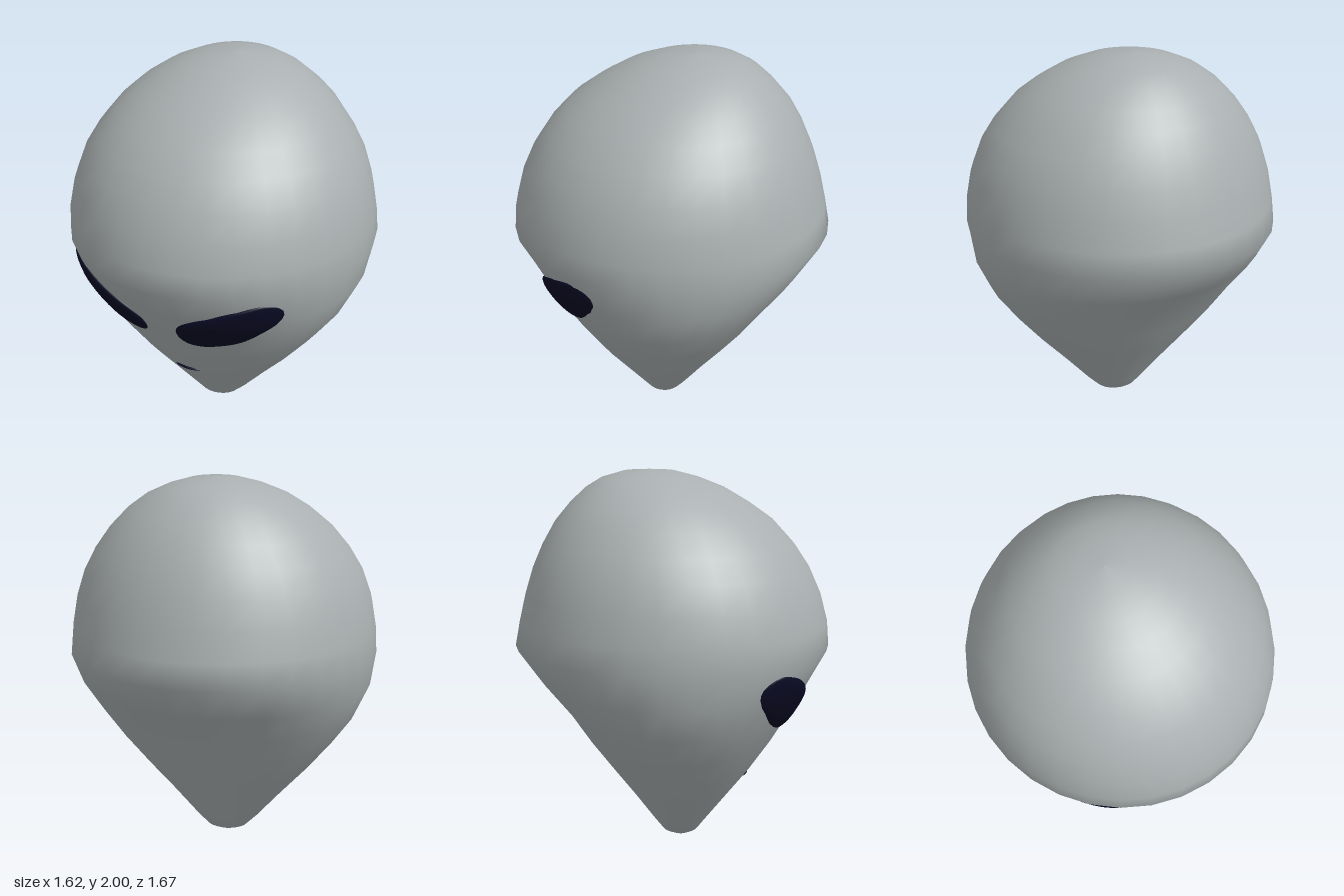
import * as THREE from 'three';

// Head cross-sections: height, half width, front z, back z
const RINGS = [
  [0, 0.001, 0.051, 0.049], [0.005, 0.06, 0.1, 0], [0.03, 0.115, 0.145, -0.05],
  [0.09, 0.175, 0.19, -0.095], [0.245, 0.31, 0.31, -0.205], [0.4, 0.45, 0.43, -0.32],
  [0.57, 0.59, 0.545, -0.445], [0.73, 0.705, 0.64, -0.55], [0.9, 0.785, 0.735, -0.695],
  [1.08, 0.812, 0.835, -0.835], [1.21, 0.805, 0.825, -0.81], [1.36, 0.78, 0.785, -0.775],
  [1.5, 0.733, 0.722, -0.732], [1.62, 0.665, 0.642, -0.68], [1.735, 0.577, 0.537, -0.615],
  [1.825, 0.483, 0.41, -0.54], [1.905, 0.367, 0.275, -0.455], [1.957, 0.25, 0.145, -0.37],
  [1.99, 0.135, 0.02, -0.257], [2, 0.001, -0.119, -0.121],
];

// Smooth surface from point(i, j), closed along j; faces turn outward
// when j runs counter-clockwise seen from the end that i leads to
function loopSurface(rows, cols, point) {
  const pos = [], index = [];
  for (let i = 0; i < rows; i++)
    for (let j = 0; j < cols; j++) pos.push(...point(i, j));
  for (let i = 0; i < rows - 1; i++)
    for (let j = 0; j < cols; j++) {
      const k = (j + 1) % cols;
      const a = i * cols + j, b = i * cols + k, c = a + cols, d = b + cols;
      index.push(a, b, d, a, d, c);
    }
  const geo = new THREE.BufferGeometry();
  geo.setAttribute('position', new THREE.Float32BufferAttribute(pos, 3));
  geo.setIndex(index);
  geo.computeVertexNormals();
  return geo;
}

// Front surface of the head at (x, y)
function faceZ(x, y) {
  let i = 0;
  while (i < RINGS.length - 2 && RINGS[i + 1][0] < y) i++;
  const t = (y - RINGS[i][0]) / (RINGS[i + 1][0] - RINGS[i][0]);
  const [, w, f, b] = RINGS[i].map((v, k) => THREE.MathUtils.lerp(v, RINGS[i + 1][k], t));
  return (f + b) / 2 + ((f - b) / 2) * Math.sqrt(Math.max(0, 1 - (x / w) ** 2));
}

// Bulging patch that follows the face, from its rim in to its centre,
// inside a counter-clockwise outline
function facePatch(outline, cx, cy, bulge, mirror = 1) {
  const rows = 12, n = outline.length;
  return loopSurface(rows, n, (i, j) => {
    const r = Math.max(0.001, Math.cos((i / (rows - 1)) * Math.PI / 2));
    const p = outline[mirror > 0 ? j : n - 1 - j];
    const x = cx + (p.x - cx) * r, y = cy + (p.y - cy) * r;
    const lift = (bulge + 0.012) * Math.sqrt(1 - r * r) - 0.006;
    return [x * mirror, y, faceZ(x, y) + lift];
  });
}

export function createModel() {
  const group = new THREE.Group();
  const skin = new THREE.MeshStandardMaterial({ color: 0xaab0b1 });
  skin.name = 'greySkin';
  const dark = new THREE.MeshStandardMaterial({ color: 0x0a0a24 });
  dark.name = 'darkNavy';
  const add = (name, geo, mat) => {
    const mesh = new THREE.Mesh(geo, mat);
    mesh.name = name;
    group.add(mesh);
  };

  // Head: large dome tapering to a narrow chin
  const sides = 32;
  add('head', loopSurface(RINGS.length, sides, (i, j) => {
    const [y, w, f, b] = RINGS[i];
    const a = (j / sides) * Math.PI * 2;
    return [Math.sin(a) * w, y, (f + b) / 2 + (Math.cos(a) * (f - b)) / 2];
  }), skin);

  // Slanted almond eyes
  const eyeOutline = new THREE.CatmullRomCurve3([
    [0.092, 0.73], [0.125, 0.685], [0.2, 0.675], [0.3, 0.7], [0.41, 0.745],
    [0.51, 0.82], [0.575, 0.88], [0.612, 0.945], [0.61, 0.99], [0.565, 1.03],
    [0.46, 1.01], [0.33, 0.955], [0.2, 0.89], [0.13, 0.84], [0.095, 0.785],
  ].map(([x, y]) => new THREE.Vector3(x, y, 0)), true).getSpacedPoints(48).slice(0, 48);
  add('leftEye', facePatch(eyeOutline, 0.34, 0.85, 0.03), dark);
  add('rightEye', facePatch(eyeOutline, 0.34, 0.85, 0.03, -1), dark);

  // Small thin mouth
  const mouthOutline = new THREE.EllipseCurve(-0.004, 0.358, 0.078, 0.011).getPoints(32).slice(0, 32);
  add('mouth', facePatch(mouthOutline, -0.004, 0.358, 0.009), dark);

  return group;
}
